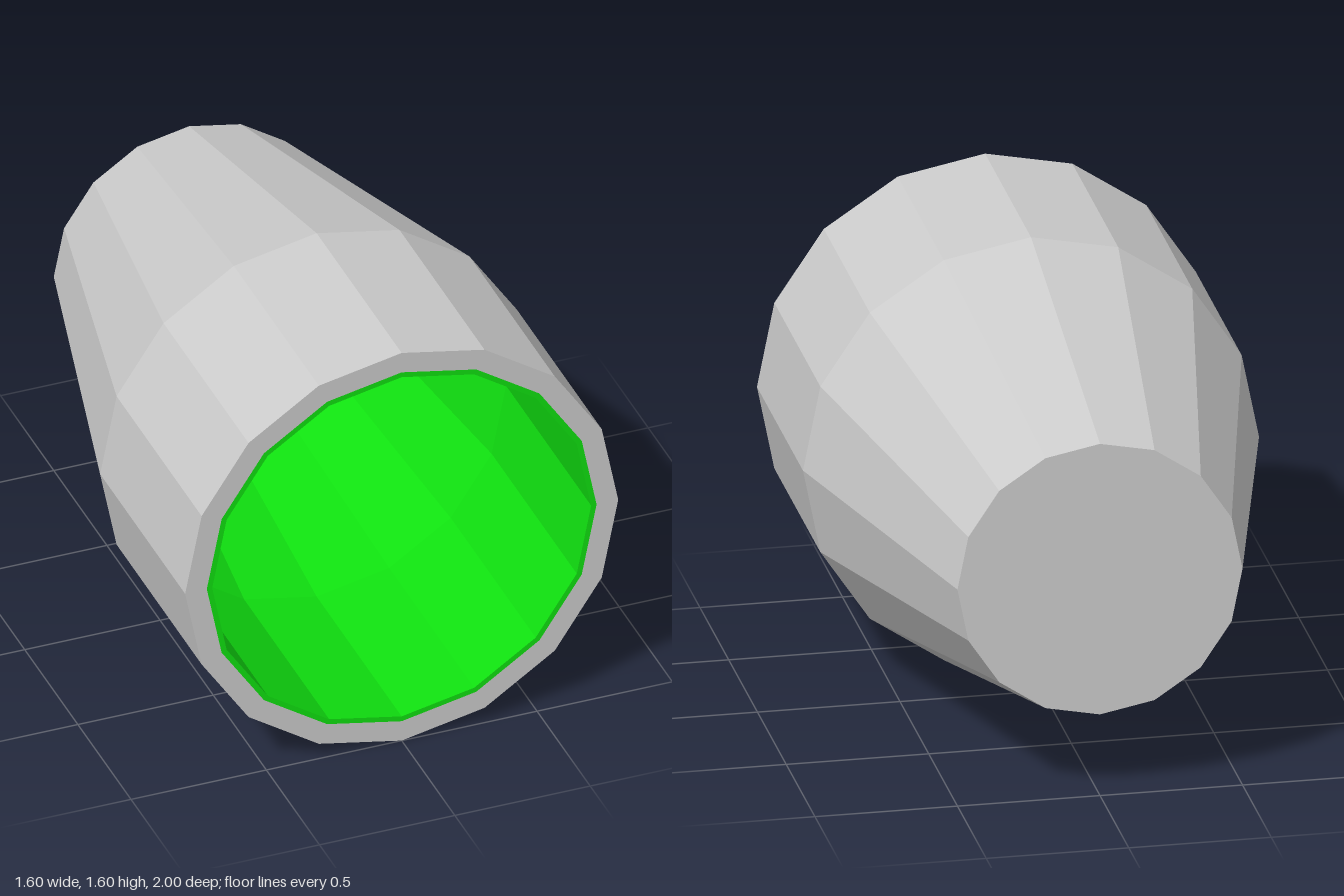
import * as THREE from 'three';

const SIDES = 16;

// Faceted surface of revolution around z; profile points are [radius, z].
// Faces point outward when the profile runs from the back to the front.
function turned(name, profile, material) {
  const points = profile.map(([r, z]) => new THREE.Vector2(r, z));
  const geometry = new THREE.LatheGeometry(points, SIDES);
  geometry.rotateX(Math.PI / 2);
  const mesh = new THREE.Mesh(geometry, material);
  mesh.name = name;
  mesh.position.y = 0.8;
  return mesh;
}

export function createModel() {
  const grey = new THREE.MeshStandardMaterial({ color: 0xcccccc, flatShading: true });
  const green = new THREE.MeshStandardMaterial({ color: 0x10e010, flatShading: true });

  const model = new THREE.Group();
  model.name = 'taperedCup';

  // Outer shell: closed back, tapered rear, straight front and flat rim
  model.add(turned('outerShell', [[0, -1], [0.5, -1], [0.8, 0.2], [0.8, 1], [0.72, 1]], grey));

  // Inner lining: thin front lip, straight bore, tapered bore and floor
  model.add(turned('innerLining', [[0.72, 1], [0.7, 1], [0.7, 0.2], [0.5, -0.995], [0, -0.995]], green));

  return model;
}
